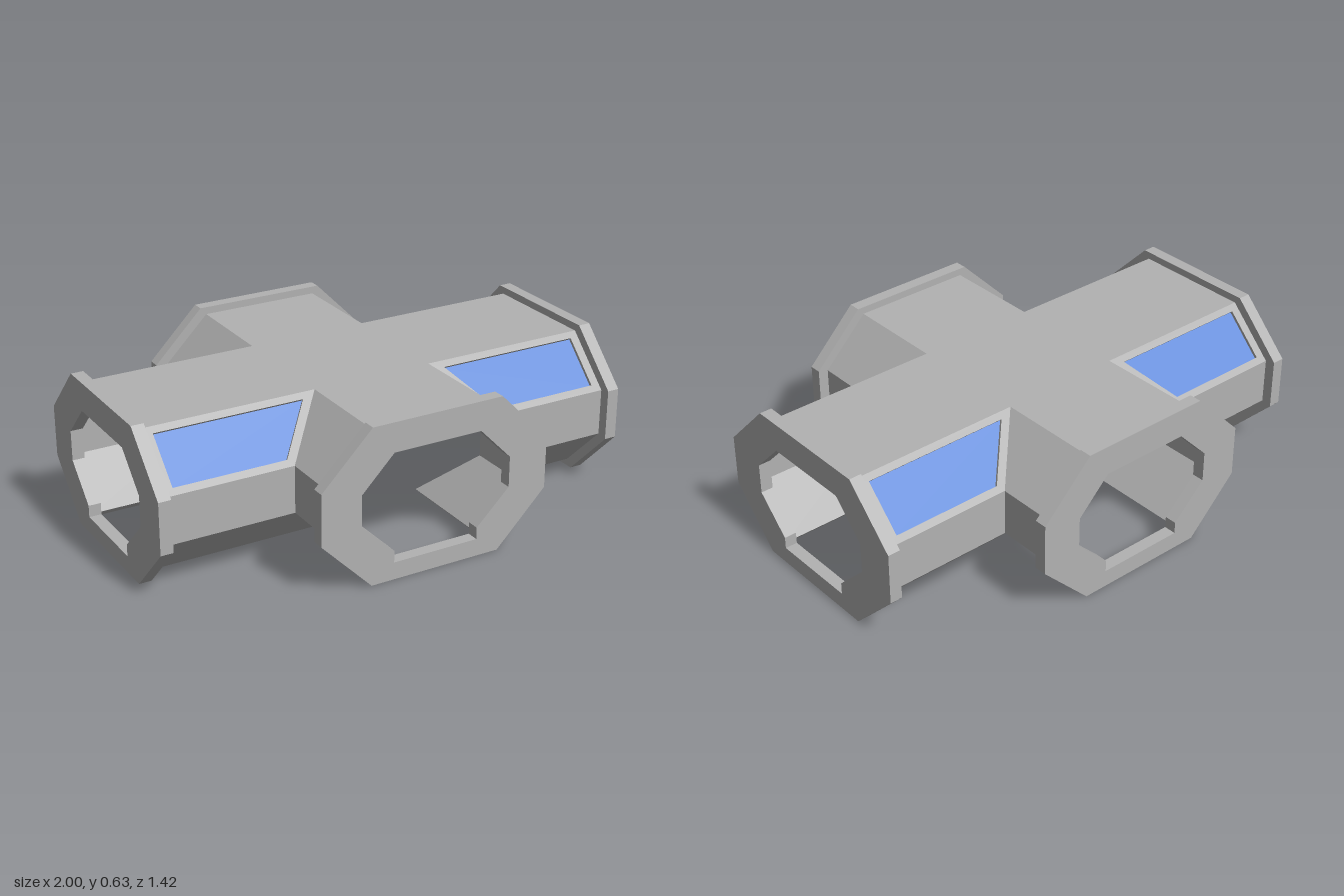
import * as THREE from 'three';

const WALL = 0.04;        // hull wall thickness
const FRAME = 0.05;       // end frame thickness
// Outer half profile of a corridor, from roof edge to open underside: [half width, height]
const PROFILE = [[0.25, 0.6], [0.44, 0.41], [0.44, 0.22], [0.25, 0.03]];
const NAMES = ['upperSlope', 'sideWall', 'lowerSlope'];

const shapeOf = (pts) => new THREE.Shape(pts.map(([x, y]) => new THREE.Vector2(x, y)));
const mirrorPts = (half) => [...half, ...half.slice().reverse().map(([x, y]) => [-x, y])];

// Make a closed solid face outwards (after mirroring) and give it flat normals
function faceOutwards(geo) {
  const p = geo.attributes.position;
  const a = new THREE.Vector3(), b = new THREE.Vector3(), c = new THREE.Vector3();
  let volume = 0;
  for (let i = 0; i < p.count; i += 3) {
    a.fromBufferAttribute(p, i);
    b.fromBufferAttribute(p, i + 1);
    c.fromBufferAttribute(p, i + 2);
    volume += a.dot(b.cross(c));
  }
  if (volume < 0) {
    for (let i = 0; i < p.count; i += 3) {
      b.fromBufferAttribute(p, i + 1);
      c.fromBufferAttribute(p, i + 2);
      p.setXYZ(i + 1, c.x, c.y, c.z);
      p.setXYZ(i + 2, b.x, b.y, b.z);
    }
  }
  geo.computeVertexNormals();
  return geo;
}

// Slab on one profile segment of an arm along +x. Shape coordinates: x along the arm,
// y = distance down the segment. Edges on the mitre line x = z stay on it through the wall.
function slab(shape, segment, from, depth) {
  const [w0, y0] = PROFILE[segment], [w1, y1] = PROFILE[segment + 1];
  const len = Math.hypot(w1 - w0, y1 - y0);
  const dw = (w1 - w0) / len, dy = (y1 - y0) / len;
  const geo = new THREE.ExtrudeGeometry(shape, { depth, bevelEnabled: false });
  const p = geo.attributes.position;
  for (let i = 0; i < p.count; i++) {
    const x = p.getX(i), s = p.getY(i), d = p.getZ(i) + from;
    const outer = w0 + dw * s;
    const w = outer + dy * d;
    const y = y0 + dy * s - dw * d;
    p.setXYZ(i, Math.abs(x - outer) < 1e-4 ? w : x, y, w);
  }
  return geo;
}

// Full panel outline, ending at the mitre with the neighbouring arm
function panelShape(segment, end) {
  const [w0, y0] = PROFILE[segment], [w1, y1] = PROFILE[segment + 1];
  const len = Math.hypot(w1 - w0, y1 - y0);
  return shapeOf([[w0, 0], [end, 0], [end, len], [w1, len]]);
}

// Window outline on the upper slope
const WINDOW = [[0.31, 0.028], [0.915, 0.028], [0.915, 0.24], [0.46, 0.24]];

export function createModel() {
  const hull = new THREE.MeshStandardMaterial({ color: 0xb2b2b2 });
  hull.name = 'hullGrey';
  const glass = new THREE.MeshStandardMaterial({ color: 0x638cd9 });
  glass.name = 'windowBlue';

  const model = new THREE.Group();
  model.name = 'corridorCrossing';
  const add = (parent, name, geo, mat) => {
    const mesh = new THREE.Mesh(geo, mat);
    mesh.name = name;
    parent.add(mesh);
  };

  // Cross-shaped roof
  const h = 0.25, rx = 0.97, rz = 0.68;
  const roof = new THREE.ExtrudeGeometry(shapeOf([
    [-rx, -h], [-h, -h], [-h, -rz], [h, -rz], [h, -h], [rx, -h],
    [rx, h], [h, h], [h, rz], [-h, rz], [-h, h], [-rx, h],
  ]), { depth: WALL, bevelEnabled: false });
  roof.rotateX(Math.PI / 2).translate(0, 0.6, 0);
  add(model, 'roof', roof, hull);

  // Octagonal end frame with its doorway
  const frameShape = shapeOf(mirrorPts([[0.275, 0], [0.483, 0.212], [0.483, 0.42], [0.275, 0.63]]));
  frameShape.holes.push(new THREE.Path(mirrorPts([
    [0.18, 0.07], [0.18, 0.118], [0.318, 0.253], [0.318, 0.377], [0.185, 0.512],
  ]).map(([x, y]) => new THREE.Vector2(x, y))));

  for (const along of ['x', 'z']) {
    const length = along === 'x' ? 1 : 0.71;
    for (const dir of [1, -1]) {
      const arm = new THREE.Group();
      arm.name = along === 'x' ? (dir > 0 ? 'leftArm' : 'rightArm') : (dir > 0 ? 'frontArm' : 'backArm');
      model.add(arm);

      const frame = new THREE.ExtrudeGeometry(frameShape, { depth: FRAME, bevelEnabled: false });
      frame.translate(0, 0, length - FRAME);
      frame.rotateY(along === 'x' ? dir * Math.PI / 2 : (dir > 0 ? 0 : Math.PI));
      add(arm, 'endFrame', frame, hull);

      for (const side of [1, -1]) {
        // Place a +x arm, +z side solid on this arm and side
        const place = (geo) => {
          const m = along === 'x'
            ? new THREE.Matrix4().makeScale(dir, 1, side)
            : new THREE.Matrix4().set(0, 0, side, 0, 0, 1, 0, 0, dir, 0, 0, 0, 0, 0, 0, 1);
          return faceOutwards(geo.applyMatrix4(m));
        };
        NAMES.forEach((name, segment) => {
          const shape = panelShape(segment, length - 0.03);
          const glazed = along === 'x' && segment === 0;
          if (glazed) shape.holes.push(new THREE.Path(WINDOW.map(([x, y]) => new THREE.Vector2(x, y))));
          add(arm, name, place(slab(shape, segment, 0, WALL)), hull);
          // Recessed pane
          if (glazed) add(arm, 'windowPane', place(slab(shapeOf(WINDOW), 0, 0.012, 0.008)), glass);
        });
      }
    }
  }
  return model;
}
